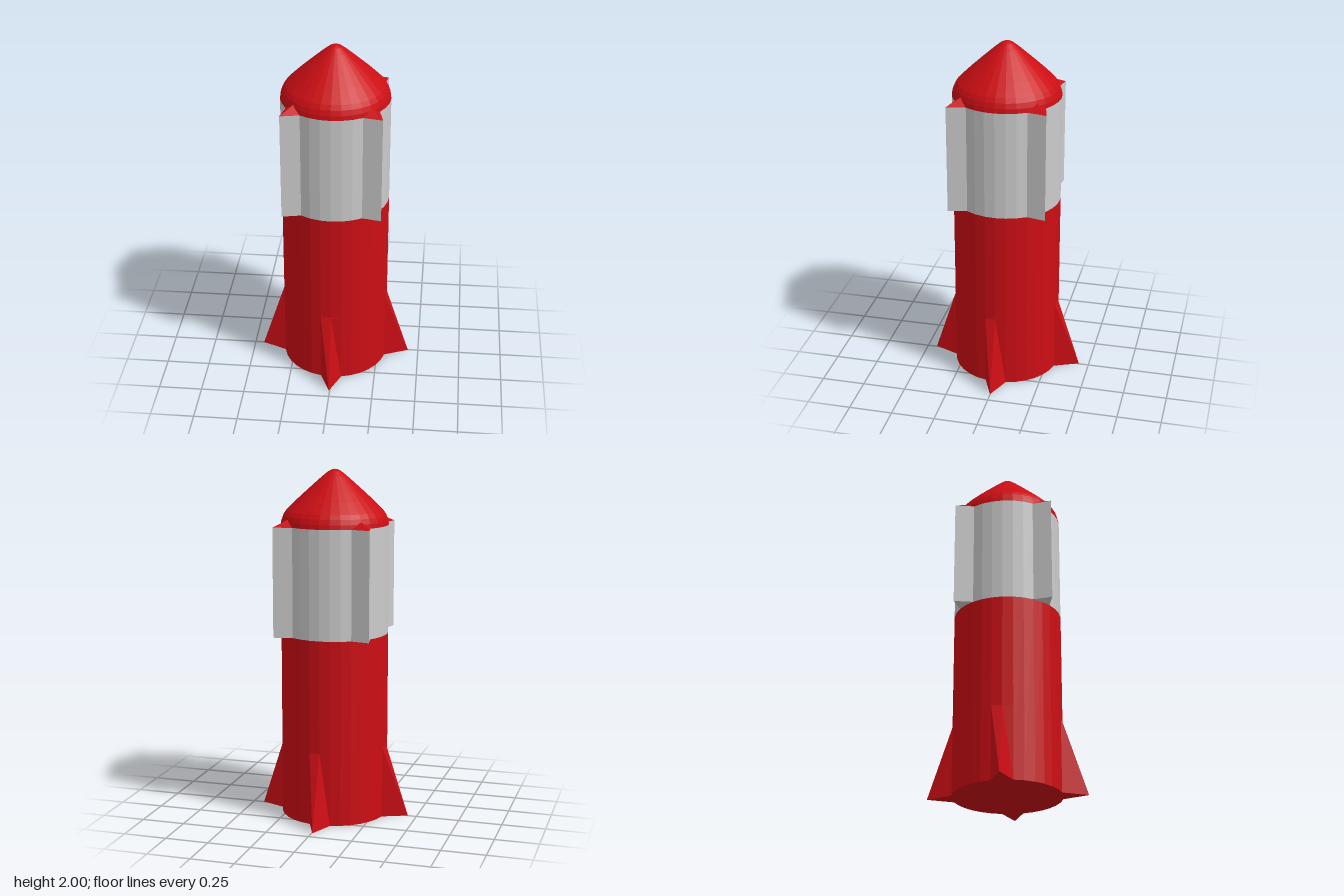
import * as THREE from 'three';

const R = 0.307, SIDES = 32;
const HALF = R * Math.sin(Math.PI * 2 / SIDES); // fins and ribs span two body facets
const CHORD = R * Math.cos(Math.PI * 2 / SIDES);

const red = new THREE.MeshStandardMaterial({ color: 0xcc0e14, flatShading: true });
const grey = new THREE.MeshStandardMaterial({ color: 0xcccccc, flatShading: true });

function add(parent, name, geometry, material) {
  const mesh = new THREE.Mesh(geometry, material);
  mesh.name = name;
  parent.add(mesh);
  return mesh;
}

// Builds a geometry from a list of [a, b, c] triangles of corner arrays
function fromTriangles(triangles) {
  const g = new THREE.BufferGeometry();
  g.setAttribute('position', new THREE.Float32BufferAttribute(triangles.flat(2), 3));
  g.computeVertexNormals();
  return g;
}

// Triangular prism on the body's +z side; its ridge runs from radius r0 up to r1
function wedge(y0, y1, r0, r1) {
  const [a, b, t] = [[-HALF, y0, CHORD], [HALF, y0, CHORD], [0, y0, r0]];
  const [A, B, T] = [[-HALF, y1, CHORD], [HALF, y1, CHORD], [0, y1, r1]];
  return fromTriangles([
    [a, b, t], [A, T, B],
    [b, B, T], [b, T, t],
    [t, T, A], [t, A, a],
  ]);
}

// Two sloping facets that close a rib against the nose
function ribCapGeometry(y, tip) {
  const A = [-HALF, y, CHORD], B = [HALF, y, CHORD], T = [0, y, tip], P = [0, y + 0.04, 0.295];
  return fromTriangles([[A, T, P], [T, B, P]]);
}

export function createModel() {
  const rocket = new THREE.Group();
  rocket.name = 'rocket';

  // Lower body, closed underneath
  const lower = new THREE.CylinderGeometry(R, R, 1.07, SIDES);
  lower.translate(0, 0.535, 0);
  add(rocket, 'lowerBody', lower, red);

  // Grey upper band
  const upper = new THREE.CylinderGeometry(R, R, 0.62, SIDES, 1, true);
  upper.translate(0, 1.38, 0);
  add(rocket, 'upperBody', upper, grey);

  // Pointed nose with rounded shoulder and tip
  const profile = [
    [R, 1.69], [0.303, 1.715], [0.293, 1.743], [0.277, 1.768], [0.255, 1.79],
    [0.215, 1.829], [0.165, 1.875], [0.115, 1.92], [0.07, 1.96], [0.035, 1.988], [0.015, 1.998], [0, 2],
  ].map(([x, y]) => new THREE.Vector2(x, y));
  add(rocket, 'nose', new THREE.LatheGeometry(profile, SIDES), red);

  // Four tail fins on the axes, four ribs with red caps on the diagonals
  const finGeometry = wedge(0, 0.42, 0.444, 0.309);
  const ribGeometry = wedge(1.07, 1.69, 0.393, 0.393);
  const capGeometry = ribCapGeometry(1.69, 0.393);
  for (let i = 0; i < 4; i++) {
    const angle = i * Math.PI / 2;
    add(rocket, 'tailFin', finGeometry, red).rotation.y = angle;
    add(rocket, 'rib', ribGeometry, grey).rotation.y = angle + Math.PI / 4;
    add(rocket, 'ribCap', capGeometry, red).rotation.y = angle + Math.PI / 4;
  }

  // The axis sits slightly off the centre
  rocket.children.forEach((part) => part.position.set(-0.005, 0, 0.002));
  return rocket;
}
